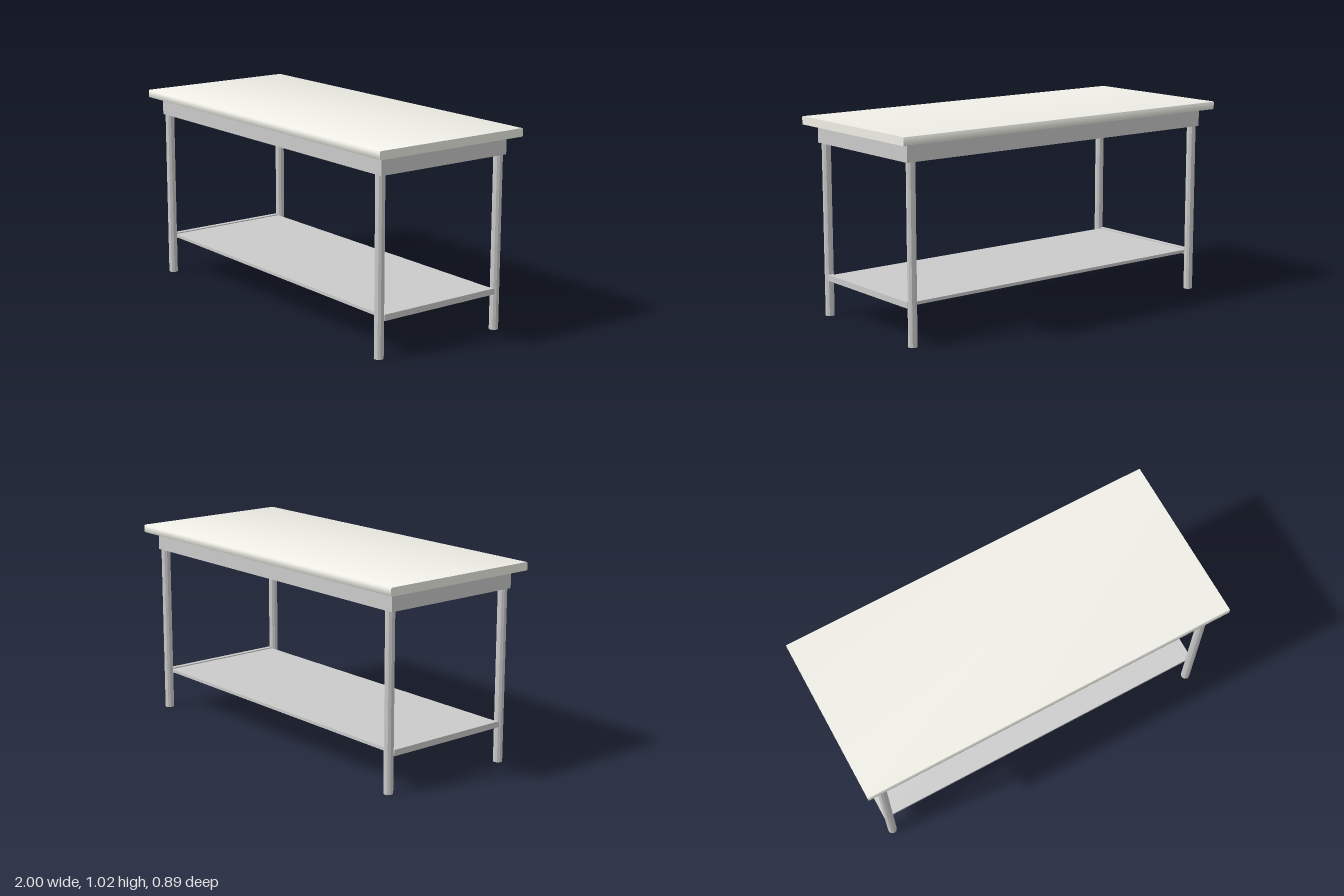
import * as THREE from 'three';
import { toCreasedNormals } from 'three/addons/utils/BufferGeometryUtils.js';

export function createModel() {
  const group = new THREE.Group();
  const grey = new THREE.MeshStandardMaterial({ color: 0xcccccc });
  const legGrey = new THREE.MeshStandardMaterial({ color: 0xcccccc, flatShading: true });
  const pale = new THREE.MeshStandardMaterial({ color: 0xf0f0e8 });

  const add = (name, geometry, material, x, y, z) => {
    const mesh = new THREE.Mesh(geometry, material);
    mesh.name = name;
    mesh.position.set(x, y, z);
    group.add(mesh);
  };
  const box = (name, w, h, d, x, y, z) =>
    add(name, new THREE.BoxGeometry(w, h, d), grey, x, y, z);

  // Table top: rounded profile swept along x, with square-cut ends
  const hw = 0.443, hh = 0.021, r = 0.007;
  const profile = new THREE.Shape();
  profile.absarc(hw - r, hh - r, r, 0, Math.PI / 2);
  profile.absarc(-hw + r, hh - r, r, Math.PI / 2, Math.PI);
  profile.absarc(-hw + r, -hh + r, r, Math.PI, Math.PI * 1.5);
  profile.absarc(hw - r, -hh + r, r, Math.PI * 1.5, Math.PI * 2);
  const top = new THREE.ExtrudeGeometry(profile, { depth: 2, bevelEnabled: false, curveSegments: 4 });
  top.translate(0, 0, -1).rotateY(Math.PI / 2);
  add('tableTop', toCreasedNormals(top, Math.PI / 3), pale, 0, 1.001, 0);

  // Solid apron under the top
  box('apron', 1.89, 0.09, 0.776, 0, 0.935, 0);

  // Ten-sided legs, reaching slightly into the apron
  const legGeometry = new THREE.CylinderGeometry(0.0235, 0.0235, 0.912, 10);
  for (const x of [-0.911, 0.911])
    for (const z of [-0.367, 0.367])
      add('leg', legGeometry, legGrey, x, 0.456, z);

  // Lower shelf with a raised rail at each end
  box('shelf', 1.83, 0.016, 0.7, 0, 0.204, 0);
  for (const side of [-1, 1])
    box('shelfEndRail', 0.026, 0.031, 0.7, side * 0.918, 0.202, 0);

  return group;
}
